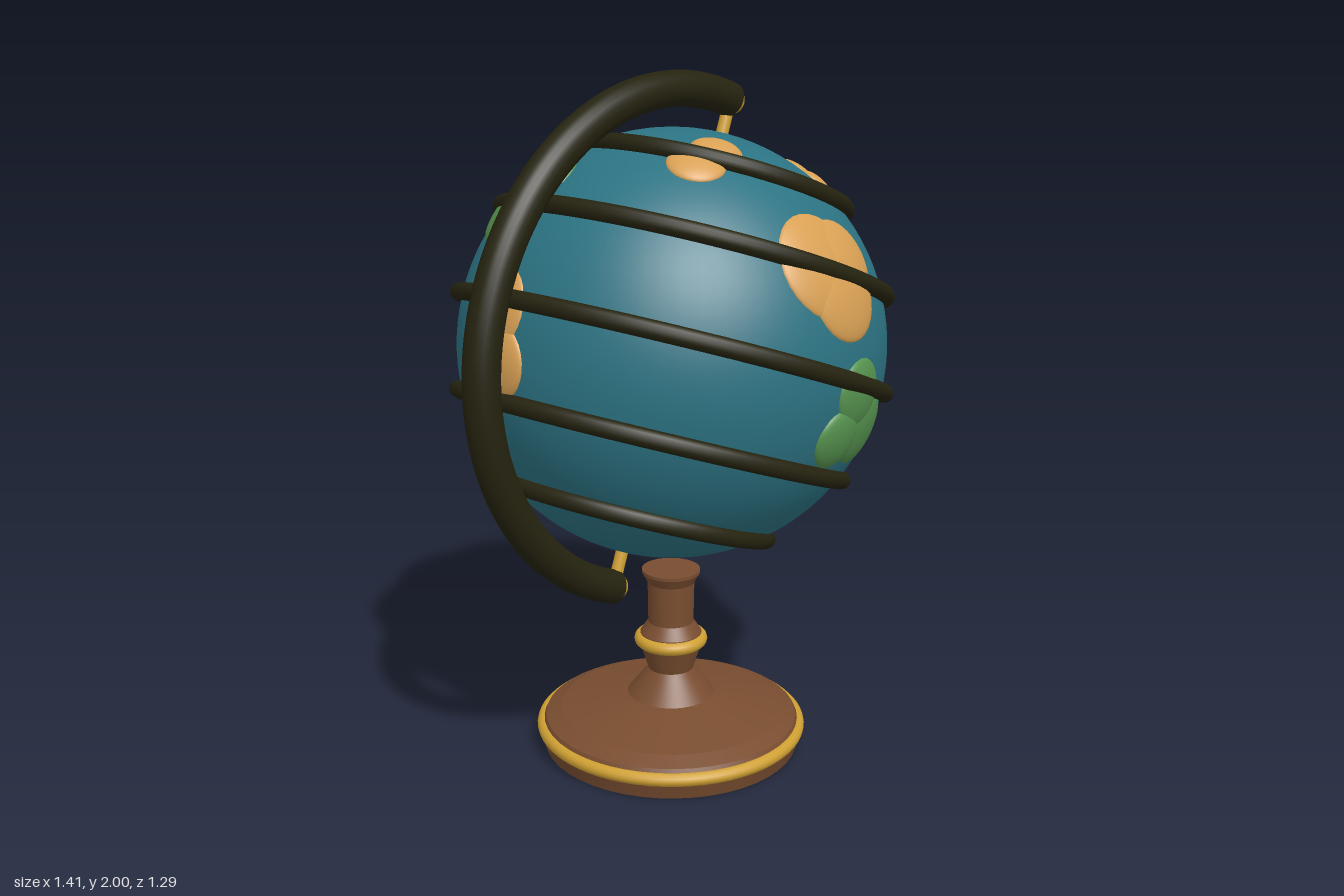
import * as THREE from 'three';

const mat = (name, color) => Object.assign(new THREE.MeshStandardMaterial({ color }), { name });
const R = 0.61;               // globe radius
const RING_R = 0.62;          // latitude ring radius at the equator
const ARM_R = 0.715;          // support arm radius
const TILT = THREE.MathUtils.degToRad(20);
const UP = new THREE.Vector3(0, 1, 0);

// A land lobe is a shallow dome that follows the sphere
function lobe(r, h) {
  const a = Math.asin(r / R), pts = [];
  for (let i = 0; i <= 10; i++) {
    const t = (i / 10) * Math.PI / 2;
    const rad = R - 0.002 + h * Math.sin(t), angle = a * Math.cos(t);
    pts.push(new THREE.Vector2(rad * Math.sin(angle), rad * Math.cos(angle)));
  }
  return new THREE.LatheGeometry(pts, 28);
}

// Directions of the lobes, spaced evenly around a land's centre
function lobeDirections(centre, count, spread, spin) {
  const east = new THREE.Vector3().crossVectors(UP, centre).normalize();
  const north = new THREE.Vector3().crossVectors(centre, east).normalize();
  return Array.from({ length: count }, (_, i) => {
    const a = THREE.MathUtils.degToRad(spin) + (i * 2 * Math.PI) / count;
    return centre.clone()
      .addScaledVector(east, spread * Math.cos(a))
      .addScaledVector(north, spread * Math.sin(a))
      .normalize();
  });
}

export function createModel() {
  const ocean = mat('ocean blue', 0x2c7383);
  const sand = mat('sand', 0xd8a054);
  const green = mat('forest green', 0x56934f);
  const wood = mat('brown wood', 0x794d30);
  const gold = mat('gold', 0xcfa033);
  const iron = mat('dark iron', 0x25230f);

  const model = new THREE.Group();
  model.name = 'deskGlobe';
  const add = (parent, name, geo, material, x = 0, y = 0, z = 0) => {
    const m = new THREE.Mesh(geo, material);
    m.name = name;
    m.position.set(x, y, z);
    parent.add(m);
    return m;
  };

  // Turned stand: each straight run is its own lathe so the edges stay crisp
  const stand = new THREE.Group();
  stand.name = 'stand';
  stand.position.x = 0.06;
  model.add(stand);
  const profile = [[0, 0], [0.385, 0], [0.4, 0.05], [0.38, 0.09], [0.333, 0.11], [0.13, 0.155],
    [0.068, 0.235], [0.092, 0.31], [0.092, 0.35], [0.068, 0.385], [0.07, 0.51], [0.087, 0.54],
    [0.087, 0.55], [0, 0.55]].map(p => new THREE.Vector2(...p));
  for (let i = 0; i < profile.length - 1; i++)
    add(stand, 'standSection', new THREE.LatheGeometry([profile[i], profile[i + 1]], 48), wood);
  for (const [r, tube, y] of [[0.387, 0.02, 0.06], [0.09, 0.02, 0.328]])
    add(stand, 'goldBand', new THREE.TorusGeometry(r, tube, 12, 64), gold, 0, y).rotation.x = Math.PI / 2;

  // Globe
  const globe = new THREE.Group();
  globe.name = 'globe';
  globe.position.set(0.06, 1.235, 0);
  model.add(globe);
  add(globe, 'ocean', new THREE.SphereGeometry(R, 64, 48), ocean);

  // Lands: centre x, y, z, lobe count, first lobe radius, spread, spin in degrees
  const addLand = (name, material, x, y, z, count, r, spread, spin) => {
    const centre = new THREE.Vector3(x, y, z).setLength(R);
    lobeDirections(centre, count, spread, spin).forEach((dir, i) => {
      const dome = lobe(r * (1 - 0.1 * i), 0.02 + 0.002 * i);
      add(globe, name, dome, material).quaternion.setFromUnitVectors(UP, dir);
    });
  };
  addLand('frontLand', sand, 0.05, 0.27, 0.545, 3, 0.15, 0.055, 150);
  addLand('upperFrontLand', sand, -0.11, 0.555, 0.222, 2, 0.08, 0.05, 217);
  addLand('upperLeftLand', sand, 0.363, 0.443, 0.205, 3, 0.066, 0.045, 60);
  addLand('backLeftLand', sand, 0.43, 0.353, -0.24, 2, 0.095, 0.076, 90);
  addLand('leftLand', sand, 0.565, 0.185, 0.108, 4, 0.16, 0.055, 170);
  addLand('lowerLeftLand', sand, 0.6, -0.08, -0.055, 3, 0.1, 0.058, 70);
  addLand('lowerBackLand', sand, 0.255, -0.285, -0.475, 3, 0.14, 0.07, 108);
  addLand('backLand', sand, -0.18, 0.277, -0.507, 3, 0.095, 0.065, 60);
  addLand('rightLand', sand, -0.585, 0.11, -0.09, 2, 0.12, 0.072, 105);
  addLand('upperBackForest', green, -0.305, 0.465, -0.24, 4, 0.14, 0.08, 200);
  addLand('lowerFrontForest', green, 0.08, -0.135, 0.59, 3, 0.108, 0.08, 330);
  addLand('lowerBackForest', green, -0.213, -0.333, -0.45, 3, 0.1, 0.055, 30);

  // Tilted frame: latitude rings, half-circle arm, pivots
  const frame = new THREE.Group();
  frame.name = 'tiltedFrame';
  frame.position.copy(globe.position);
  frame.rotation.z = -TILT;
  model.add(frame);
  for (const deg of [-50.5, -25.3, 0, 25.3, 50.5]) {
    const a = THREE.MathUtils.degToRad(deg);
    add(frame, 'latitudeRing', new THREE.TorusGeometry(RING_R * Math.cos(a), 0.025, 12, 96), iron,
      0, RING_R * Math.sin(a)).rotation.x = Math.PI / 2;
  }
  add(frame, 'supportArm', new THREE.TorusGeometry(ARM_R, 0.05, 20, 80, Math.PI), iron).rotation.z = Math.PI / 2;
  for (const s of [1, -1]) {
    add(frame, 'armEnd', new THREE.CircleGeometry(0.05, 20), iron, 0, s * ARM_R).rotation.y = Math.PI / 2;
    add(frame, 'pivotBall', new THREE.SphereGeometry(0.042, 24, 16), gold, 0, s * ARM_R);
    add(frame, 'pivotPin', new THREE.CylinderGeometry(0.018, 0.018, 0.13, 16), gold, 0, s * 0.65);
  }
  return model;
}
